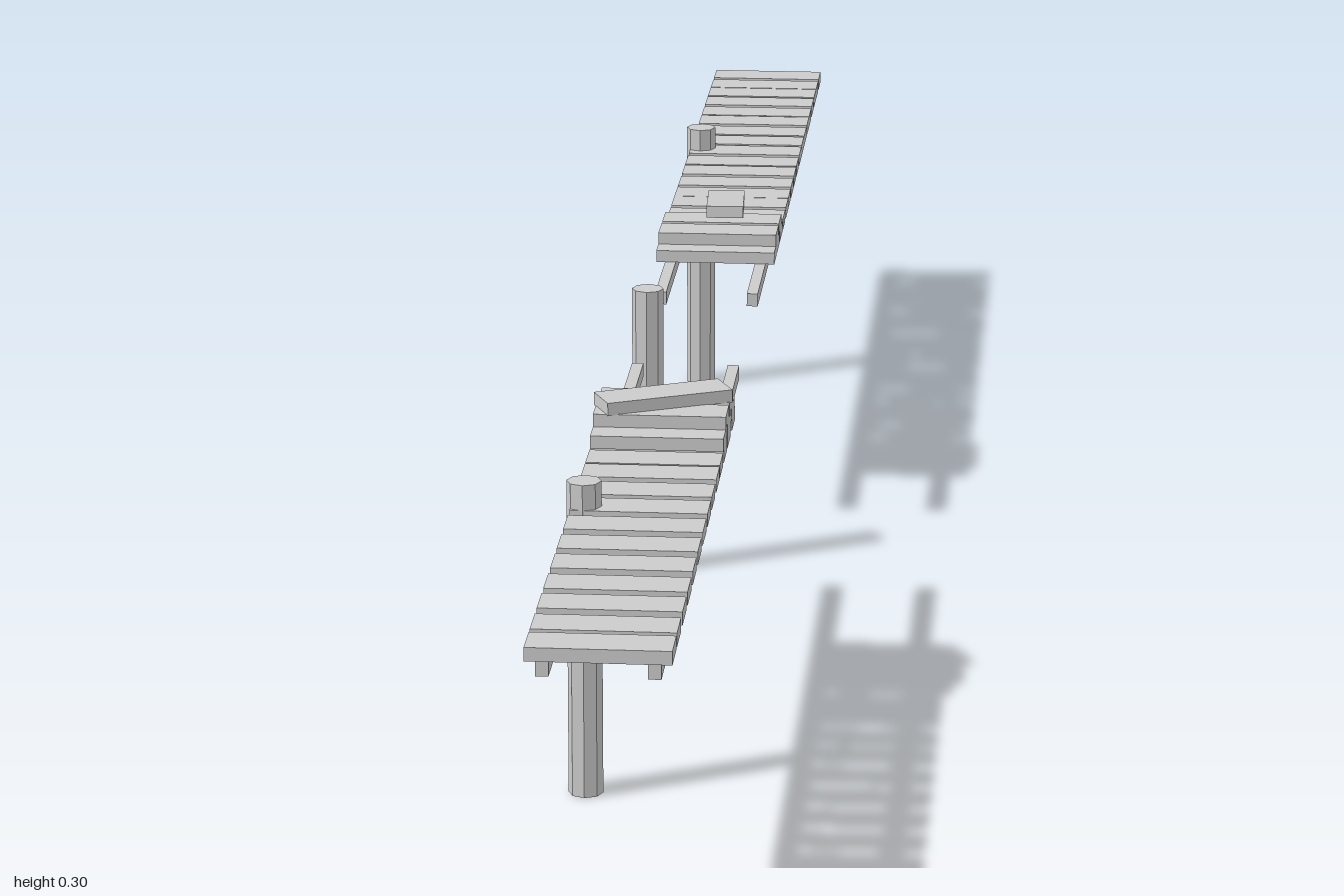
import * as THREE from 'three';

const W = 0.121, T = 0.012, D = 0.038; // plank width, thickness, depth

export function createModel() {
  const model = new THREE.Group();
  model.name = 'brokenBoardwalk';
  const mat = new THREE.MeshStandardMaterial({ color: 0xcccccc, flatShading: true });

  const add = (name, geo, x, y, z, rx = 0, ry = 0) => {
    const mesh = new THREE.Mesh(geo, mat);
    mesh.name = name;
    mesh.position.set(x, y, z);
    mesh.rotation.set(rx, ry, 0, 'YXZ');
    model.add(mesh);
  };
  const plankGeo = new THREE.BoxGeometry(W, T, D);
  // layer 0 is the deck; higher layers are loose planks stacked on it
  const plank = (name, z, layer = 0, ry = 0) => add(name, plankGeo, 0, 0.262 + layer * T, z, 0, ry);

  // Support posts, all along the right edge
  const postGeo = new THREE.CylinderGeometry(0.0155, 0.0155, 0.291, 8);
  for (const z of [0.626, 0.011, -0.637]) add('post', postGeo, -0.049, 0.1455, z);

  // Rails under each half of the broken deck
  for (const [z0, z1] of [[0.15, 0.995], [-1, -0.1]]) {
    const railGeo = new THREE.BoxGeometry(0.011, 0.013, z1 - z0);
    for (const x of [-0.046, 0.046]) add('rail', railGeo, x, 0.2495, (z0 + z1) / 2);
  }

  // Deck planks, unevenly spaced
  const frontDeck = [0.977, 0.932, 0.88, 0.83, 0.777, 0.725, 0.673, 0.622, 0.575,
    0.525, 0.484, 0.438, 0.395, 0.34];
  const backDeck = [-0.981, -0.935, -0.895, -0.852, -0.805, -0.764, -0.717, -0.674, -0.63,
    -0.583, -0.541, -0.494, -0.448, -0.409, -0.362, -0.317, -0.273, -0.23];
  for (const z of frontDeck) plank('frontDeckPlank', z);
  for (const z of backDeck) plank('backDeckPlank', z);

  // Pile of planks at the front half's broken end, the top one askew
  for (const z of [0.349, 0.394, 0.443]) plank('pilePlank', z, 1);
  for (const z of [0.37, 0.415]) plank('pilePlank', z, 2);
  plank('pileTopPlank', 0.394, 2.95, 0.44);

  // Loose planks on the back half, one leaning lengthwise
  for (const z of [-0.255, -0.3]) plank('loosePlank', z, 1);
  add('leaningPlank', new THREE.BoxGeometry(D, T, 0.12), 0, 0.281, -0.352, -0.12, 0.06);
  return model;
}
